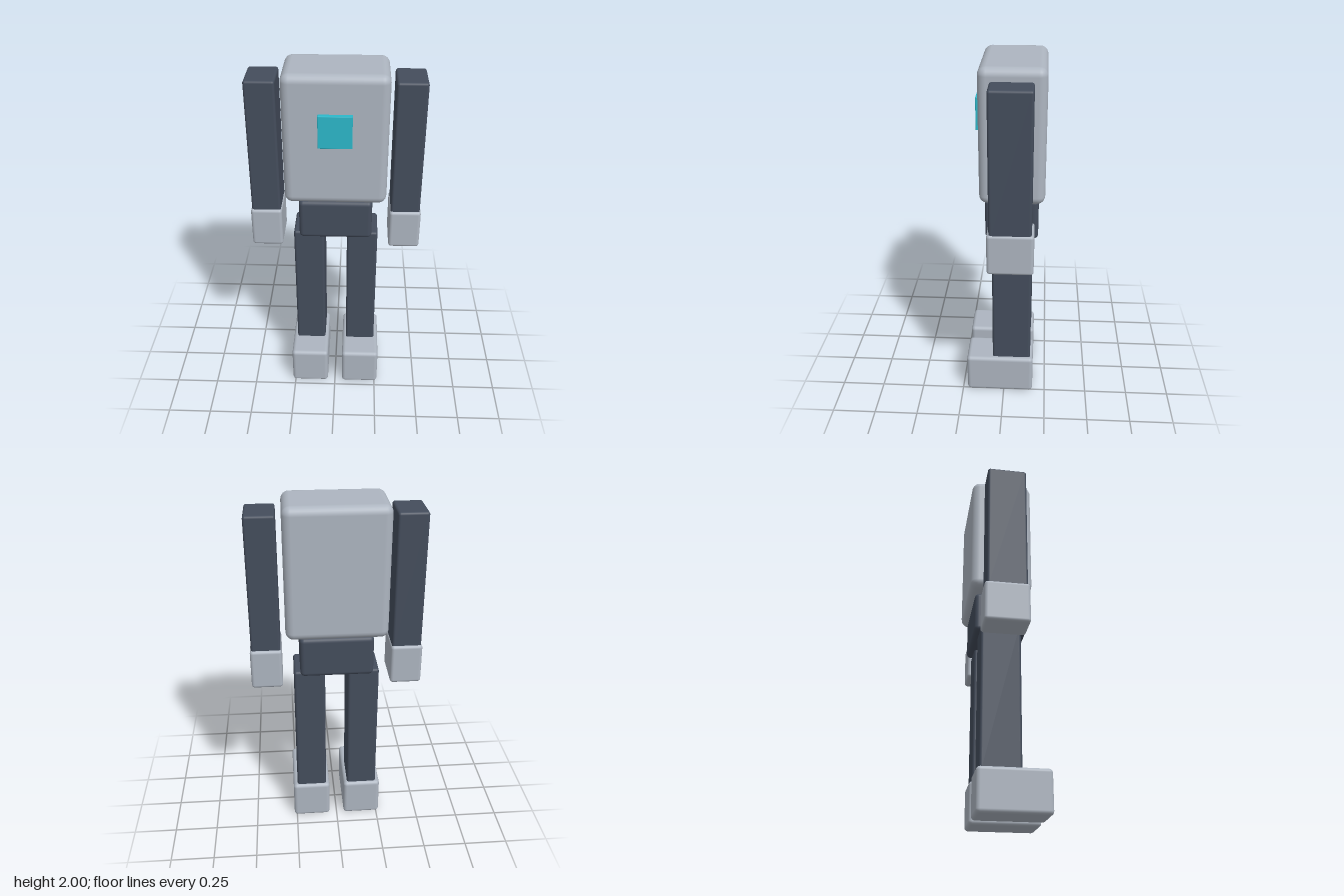
import * as THREE from 'three';
import { RoundedBoxGeometry } from 'three/addons/geometries/RoundedBoxGeometry.js';

export function createModel() {
  const model = new THREE.Group();
  model.name = 'robot';

  const material = (name, color) => {
    const m = new THREE.MeshStandardMaterial({ color });
    m.name = name;
    return m;
  };
  const lightGrey = material('lightGrey', 0xadb5c0);
  const darkSlate = material('darkSlate', 0x444d5c);
  const cyan = material('cyan', 0x2cb8ca);

  // Rounded block spanning the given [min, max] ranges
  function block(name, mat, x, y, z, radius) {
    const size = [x, y, z].map(([a, b]) => b - a);
    const mesh = new THREE.Mesh(new RoundedBoxGeometry(...size, 3, radius), mat);
    mesh.position.set(...[x, y, z].map(([a, b]) => (a + b) / 2));
    mesh.name = name;
    model.add(mesh);
  }

  // Body
  block('torso', lightGrey, [-0.28, 0.28], [1.265, 2], [-0.223, 0.131], 0.045);
  block('pelvis', darkSlate, [-0.205, 0.205], [1.025, 1.262], [-0.19, 0.105], 0.025);
  block('chestPanel', cyan, [-0.09, 0.09], [1.618, 1.798], [0.12, 0.157], 0.003);

  // Limbs, mirrored left and right
  for (const [side, s] of [['left', 1], ['right', -1]]) {
    const span = (a, b) => (s > 0 ? [a, b] : [-b, -a]);
    block(side + 'Arm', darkSlate, span(0.31, 0.473), [1.17, 1.944], [-0.158, 0.066], 0.014);
    block(side + 'Hand', lightGrey, span(0.304, 0.48), [0.953, 1.187], [-0.171, 0.078], 0.018);
    block(side + 'Leg', darkSlate, span(0.065, 0.241), [0.22, 1.04], [-0.158, 0.067], 0.015);
    block(side + 'Foot', lightGrey, span(0.044, 0.266), [0, 0.238], [-0.175, 0.222], 0.022);
  }

  return model;
}
